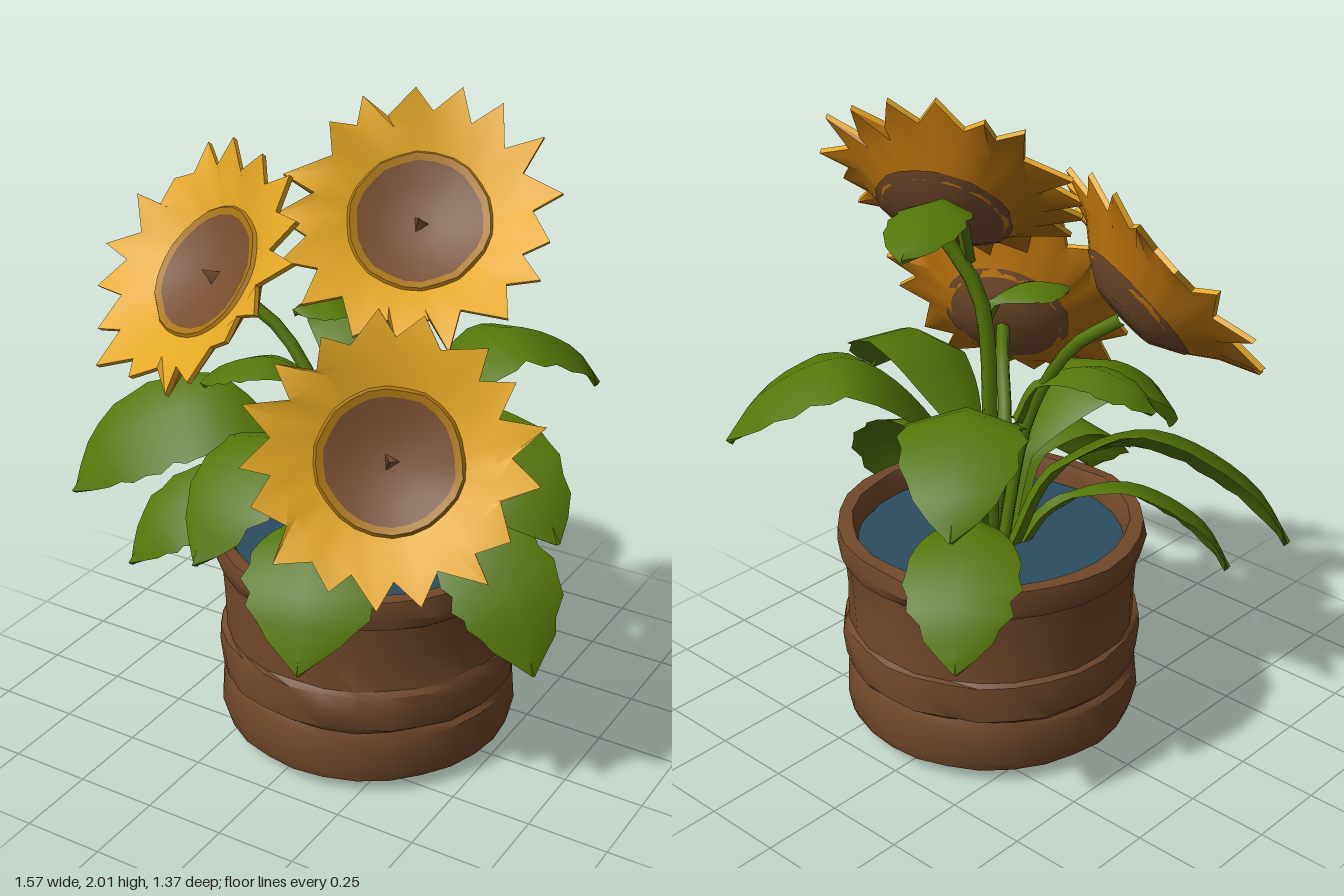
import * as THREE from 'three';
import { toCreasedNormals } from 'three/addons/utils/BufferGeometryUtils.js';

const mat = (name, color) => Object.assign(new THREE.MeshStandardMaterial({ color }), { name });
const V = (x, y, z) => new THREE.Vector3(x, y, z);
const rand = (n) => { const s = Math.sin(n * 127.1 + 3.7) * 43758.5453; return s - Math.floor(s); };

export function createModel() {
  const petalMat = mat('petal yellow', 0xe2a724);
  const petalBackMat = mat('petal back orange', 0xb8720c);
  const ringMat = mat('seed ring ochre', 0xa87412);
  const seedMat = mat('seed brown', 0x764c2d);
  const potMat = mat('pot brown', 0x724829);
  const leafMat = mat('leaf green', 0x557608);
  const waterMat = mat('water blue', 0x2b4e62);

  const model = new THREE.Group();
  model.name = 'pottedFlowers';
  const add = (parent, geo, material, name) => {
    const m = new THREE.Mesh(geo, material);
    m.name = name;
    parent.add(m);
    return m;
  };

  // Lathe whose vertices are moved by rule(point, segment, row)
  const lathe = (pts, segs, crease, rule) => {
    const g = new THREE.LatheGeometry(pts.map((p) => new THREE.Vector2(...p)), segs);
    const pos = g.attributes.position, p = V(0, 0, 0);
    for (let i = 0; i < pos.count; i++) {
      p.fromBufferAttribute(pos, i);
      rule(p, Math.floor(i / pts.length) % segs, i % pts.length);
      pos.setXYZ(i, p.x, p.y, p.z);
    }
    return toCreasedNormals(g, crease);
  };

  // Pot: banded wall, thick rim, slightly uneven
  const pot = new THREE.Group();
  pot.name = 'pot';
  pot.position.set(0.048, 0, -0.02);
  model.add(pot);
  const profile = [
    [0, 0.06], [0.41, 0.06], [0.415, 0.045], [0.447, 0.045], [0.459, 0.08], [0.454, 0.19], [0.442, 0.215],
    [0.458, 0.23], [0.464, 0.3], [0.458, 0.345], [0.443, 0.355], [0.443, 0.47], [0.449, 0.575],
    [0.464, 0.585], [0.475, 0.62], [0.469, 0.67], [0.425, 0.675], [0.412, 0.64], [0.408, 0.56],
  ];
  add(pot, lathe(profile, 28, 0.6, (p, i, j) => {
    const k = 1 + (rand(i * 19 + j) - 0.5) * 0.018;
    p.x *= k;
    p.z *= k;
    if (j > 3 && j < 17) p.y += (rand(i * 31 + j + 500) - 0.5) * 0.012;
  }), potMat, 'potBody');
  add(pot, new THREE.CircleGeometry(0.42, 28).rotateX(-Math.PI / 2).translate(0, 0.6, 0), waterMat, 'water');
  for (const [x, z, r] of [[-0.02, 0.055, 0.3], [-0.005, -0.06, -0.2]]) {
    const peg = add(pot, new THREE.BoxGeometry(0.03, 0.07, 0.035), potMat, 'basePeg');
    peg.position.set(x, 0.036, z);
    peg.rotation.y = r;
  }

  // Flower heads: bowl of joined pointed petals around a hollow seed disc
  const PETALS = 17;
  const makeFlower = (name, centre, normal, size, seed) => {
    const f = new THREE.Group();
    f.name = name;
    f.position.copy(centre);
    f.quaternion.setFromUnitVectors(V(0, 1, 0), normal.clone().normalize());
    model.add(f);
    // Outer points alternate between tip and notch
    const petalRule = (p, i) => {
      const tip = i % 2 === 0, r = Math.hypot(p.x, p.z);
      if (r > 0.35) {
        const out = size * (tip ? 0.92 + 0.14 * rand(i + seed) : 0.76 + 0.06 * rand(i + seed));
        const turn = Math.atan2(p.z, p.x) + (rand(i + seed + 50) - 0.5) * 0.13;
        const lift = tip ? (rand(i + seed + 90) - 0.5) * 0.06 : -0.01;
        p.set(Math.cos(turn) * out, p.y + lift, Math.sin(turn) * out);
      } else if (r > 0.25) {
        p.multiply(V(size / 0.4, 1, size / 0.4));
      }
    };
    add(f, lathe([[0.4, 0.052], [0.4, 0.068], [0.28, 0.042], [0.19, 0]], PETALS * 2, 0.8, petalRule),
      petalMat, 'petals');
    add(f, lathe([[0.18, -0.06], [0.28, 0.014], [0.4, 0.052]], PETALS * 2, 0.8, petalRule),
      petalBackMat, 'petalBacks');
    const wobble = (p, i) => {
      const k = 1 + (rand(i + seed) - 0.5) * 0.05;
      p.x *= k;
      p.z *= k;
    };
    add(f, lathe([[0.207, 0.006], [0.198, 0.016], [0.176, 0.008]], 24, 0.6, wobble), ringMat, 'seedRing');
    add(f, lathe([[0.178, 0.009], [0.12, -0.012], [0.06, -0.024], [0, -0.027]], 24, 0.9, wobble),
      seedMat, 'seedDisc');
    add(f, lathe([[0, -0.105], [0.11, -0.1], [0.205, -0.045]], 24, 0.8, wobble), seedMat, 'flowerBack');
    const nub = add(f, new THREE.ConeGeometry(0.03, 0.06, 3), seedMat, 'seedNub');
    nub.position.y = -0.005;
  };

  // Stems end just behind the flower heads
  const makeStem = (pts, r) => add(model,
    new THREE.TubeGeometry(new THREE.CatmullRomCurve3(pts), 12, r, 6), leafMat, 'stem');

  makeFlower('leftFlower', V(-0.385, 1.47, 0.175), V(-0.32, 0.6, 0.72), 0.395, 1);
  makeFlower('rightFlower', V(0.362, 1.155, 0.41), V(0.39, 0.42, 0.82), 0.41, 200);
  makeFlower('topFlower', V(0.195, 1.67, -0.035), V(0.31, 0.65, 0.69), 0.39, 400);
  makeStem([V(0, 0.58, -0.02), V(-0.04, 1.0, 0.05), V(-0.2, 1.28, 0.06), V(-0.35, 1.4, 0.1)], 0.02);
  makeStem([V(0.06, 0.58, 0), V(0.1, 0.9, 0.1), V(0.22, 1.06, 0.22), V(0.32, 1.11, 0.33)], 0.022);
  makeStem([V(0.02, 0.58, -0.05), V(0.02, 1.0, -0.05), V(0.06, 1.4, -0.05), V(0.165, 1.6, -0.11)], 0.024);

  // Arching leaf: diamond cross-sections swept along a curve, notched near the tip.
  // A roll turns the blade about its own length; a higher point value sharpens the tip.
  const makeLeaf = (name, base, tip, top, half, stalk, seed, roll = 0, point = 0.7) => {
    const at = (t, y) => { const p = base.clone().lerp(tip, t); p.y = y; return p; };
    const lerp = THREE.MathUtils.lerp;
    const curve = new THREE.CatmullRomCurve3([base, at(0.15, lerp(base.y, top, 0.62)), at(0.5, top),
      at(0.85, lerp(top, tip.y, 0.4)), tip]);
    const flat = V(0, 1, 0).cross(at(1, 0).sub(at(0, 0))).normalize();
    const N = 20, pos = [], idx = [];
    for (let i = 0; i <= N; i++) {
      const u = i / N, c = curve.getPointAt(u), t = curve.getTangentAt(u);
      const s = Math.max(0, (u - 0.2) / 0.8);
      const side = flat.clone().applyAxisAngle(t, -roll * Math.min(1, s * 2.5));
      const n = t.clone().cross(side).normalize();
      const blade = half * Math.pow(Math.max(0, Math.sin(Math.PI * Math.pow(s, 1.4))), point);
      for (const [sx, nx] of [[1, 0], [0, 1], [-1, 0], [0, -1]]) {
        const notch = u > 0.55 && i % 2 ? 0.84 + 0.12 * rand(i + sx * 7 + seed) : 1;
        const w = Math.max(u < 0.9 ? stalk : 0.004, blade * notch);
        const thick = u < 0.3 ? 0.02 : 0.012;
        const p = c.clone().addScaledVector(side, sx * w)
          .addScaledVector(n, nx * thick - Math.abs(sx) * Math.max(0, w - stalk) * 0.3);
        pos.push(p.x, p.y, p.z);
      }
      if (i < N) for (let k = 0; k < 4; k++) {
        const a = i * 4 + k, b = i * 4 + (k + 1) % 4;
        idx.push(a, b, b + 4, a, b + 4, a + 4);
      }
    }
    const g = new THREE.BufferGeometry();
    g.setAttribute('position', new THREE.Float32BufferAttribute(pos, 3));
    g.setIndex(idx);
    add(model, toCreasedNormals(g, 0.9), leafMat, name);
  };

  // Tall ring of leaves
  makeLeaf('backLeftTallLeaf', V(0.02, 0.6, -0.1), V(-0.42, 1.02, -0.67), 1.23, 0.18, 0.03, 1);
  makeLeaf('backRightTallLeaf', V(0.07, 0.6, -0.08), V(0.5, 1.0, -0.65), 1.23, 0.18, 0.03, 2);
  makeLeaf('leftTallLeaf', V(-0.03, 0.6, 0), V(-0.78, 0.73, 0.36), 1.03, 0.17, 0.028, 3, 0.6);
  makeLeaf('frontTallLeaf', V(0.02, 0.6, 0.03), V(-0.13, 0.8, 0.64), 1.09, 0.18, 0.028, 4);
  makeLeaf('rightTallLeaf', V(0.08, 0.6, 0), V(0.76, 0.9, 0.17), 1.12, 0.18, 0.03, 5, -0.3);
  // Low ring of leaves hanging over the rim
  makeLeaf('backLeftLowLeaf', V(0, 0.58, -0.12), V(-0.39, 0.58, -0.63), 0.85, 0.17, 0.028, 6, 0, 0.85);
  makeLeaf('leftLowLeaf', V(-0.03, 0.58, 0.03), V(-0.56, 0.55, 0.38), 0.81, 0.14, 0.026, 7, 0.5, 0.85);
  makeLeaf('frontLowLeaf', V(0.02, 0.58, 0.06), V(0.2, 0.54, 0.63), 0.86, 0.21, 0.028, 8, 0, 1);
  makeLeaf('rightLowLeaf', V(0.1, 0.58, 0), V(0.71, 0.46, 0.18), 0.83, 0.17, 0.028, 9, -0.5, 0.85);
  // Leaves growing from the stems
  makeLeaf('upperStemLeaf', V(0.1, 1.5, -0.05), V(-0.17, 1.71, -0.58), 1.77, 0.11, 0.02, 10);
  makeLeaf('middleStemLeaf', V(-0.02, 1.0, 0.03), V(-0.42, 1.1, 0.17), 1.2, 0.1, 0.018, 11);
  makeLeaf('smallStemLeaf', V(0.06, 1.3, -0.04), V(-0.1, 1.4, 0.16), 1.42, 0.09, 0.016, 12);
  return model;
}
